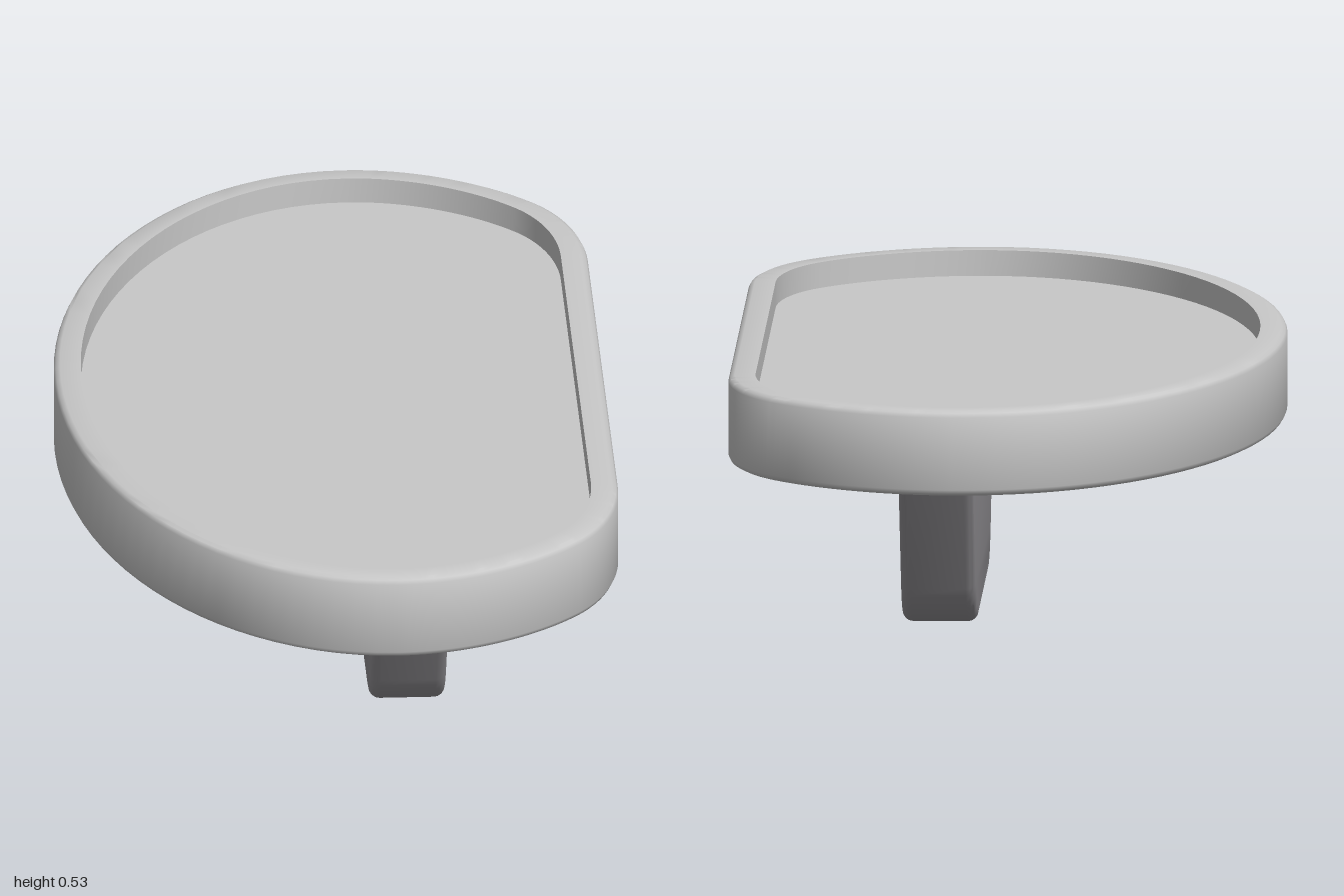
import * as THREE from 'three';
import { toCreasedNormals } from 'three/addons/utils/BufferGeometryUtils.js';

const trayMat = new THREE.MeshStandardMaterial({ color: 0xc8c8c8 });
trayMat.name = 'light grey';
const baseMat = new THREE.MeshStandardMaterial({ color: 0x929094 });
baseMat.name = 'mid grey';

// D-shaped outline: elliptical on one long side, straight on the other
function outline() {
  const s = new THREE.Shape();
  s.moveTo(-0.53, 0);
  s.bezierCurveTo(-0.53, -0.552, -0.257, -1, 0.08, -1);
  s.bezierCurveTo(0.22, -1, 0.35, -0.92, 0.43, -0.83);
  s.bezierCurveTo(0.49, -0.765, 0.525, -0.66, 0.525, -0.55);
  s.lineTo(0.525, 0.55);
  s.bezierCurveTo(0.525, 0.66, 0.49, 0.765, 0.43, 0.83);
  s.bezierCurveTo(0.35, 0.92, 0.22, 1, 0.08, 1);
  s.bezierCurveTo(-0.257, 1, -0.53, 0.552, -0.53, 0);
  const pts = s.getPoints(24);
  if (pts[0].distanceTo(pts[pts.length - 1]) < 1e-5) pts.pop();
  return pts;
}

// Move the outline inwards by a fixed distance
function inset(pts, d) {
  const n = pts.length;
  return pts.map((p, i) => {
    const a = p.clone().sub(pts[(i + n - 1) % n]).normalize();
    const b = pts[(i + 1) % n].clone().sub(p).normalize();
    const t = a.add(b).normalize();
    return new THREE.Vector2(p.x - t.y * d, p.y + t.x * d);
  });
}

// Sweep an [inset, height] profile around the outline
function sweep(pts, profile) {
  const n = pts.length, pos = [], idx = [];
  profile.forEach(([d, y]) => inset(pts, d).forEach(p => pos.push(p.x, y, -p.y)));
  for (let j = 0; j < profile.length - 1; j++) {
    for (let i = 0; i < n; i++) {
      const k = (i + 1) % n;
      const a = j * n + i, b = j * n + k, c = b + n, e = a + n;
      idx.push(a, b, c, a, c, e);
    }
  }
  const g = new THREE.BufferGeometry();
  g.setAttribute('position', new THREE.Float32BufferAttribute(pos, 3));
  g.setIndex(idx);
  return toCreasedNormals(g, 0.7);
}

export function createModel() {
  const group = new THREE.Group();
  const add = (name, geometry, material) => {
    const mesh = new THREE.Mesh(geometry, material);
    mesh.name = name;
    group.add(mesh);
  };
  const pts = outline();

  // Raised rim with softened edges
  add('rim', sweep(pts, [
    [0.035, 0.365], [0.012, 0.365], [0.004, 0.369], [0, 0.377],
    [0, 0.518], [0.004, 0.526], [0.012, 0.53], [0.052, 0.53], [0.052, 0.48],
  ]), trayMat);

  // Recessed floor and flat underside
  const floor = new THREE.ShapeGeometry(new THREE.Shape(inset(pts, 0.052)));
  add('trayFloor', floor.rotateX(-Math.PI / 2).translate(0, 0.48, 0), trayMat);
  const under = new THREE.ShapeGeometry(new THREE.Shape(inset(pts, 0.035)));
  add('underside', under.rotateX(Math.PI / 2).translate(0, 0.365, 0), baseMat);

  // Tapered fin below the tray, drawn in (-z, y) and extruded along x
  const bevel = 0.02;
  const f = new THREE.Shape();
  f.moveTo(-0.635, 0.4);
  f.lineTo(-0.44, 0.095);
  f.quadraticCurveTo(-0.39, bevel, -0.31, bevel);
  f.lineTo(0.23, bevel);
  f.quadraticCurveTo(0.31, bevel, 0.36, 0.095);
  f.lineTo(0.553, 0.4);
  f.closePath();
  const fin = new THREE.ExtrudeGeometry(f, {
    depth: 0.145 - 2 * bevel, curveSegments: 10,
    bevelEnabled: true, bevelSize: bevel, bevelThickness: bevel, bevelSegments: 4,
  });
  fin.rotateY(Math.PI / 2).translate(0.055 + bevel, 0, 0);
  add('supportFin', toCreasedNormals(fin, 0.7), baseMat);

  return group;
}
